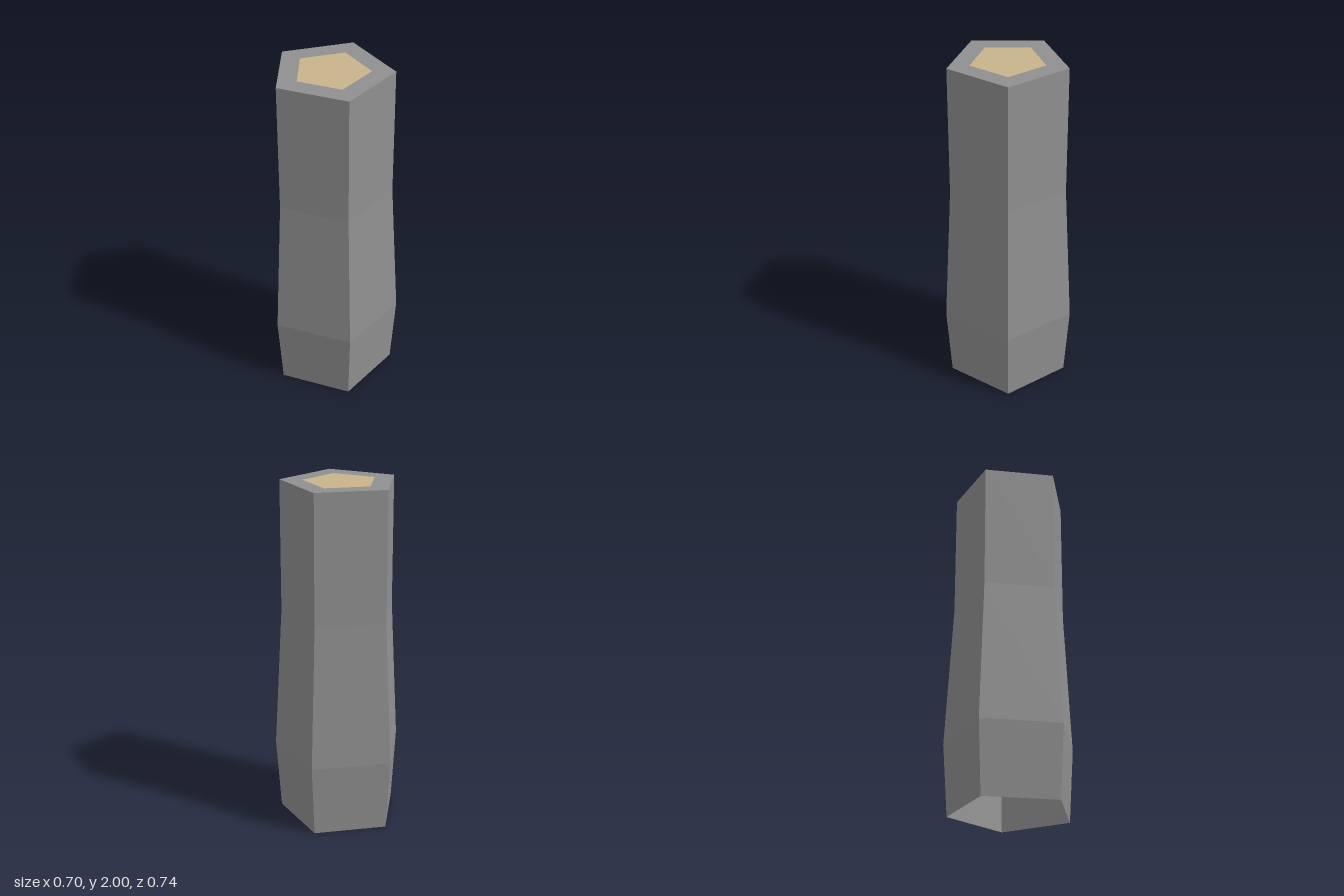
import * as THREE from 'three';

const SIDES = 5;
const HEIGHT = 2;
const CENTRE_X = -0.037; // centres the pentagon's bounds on x = 0
const TOP_RADIUS = 0.342;
const CORE_RADIUS = 0.215;

function material(color) {
  return new THREE.MeshStandardMaterial({ color, flatShading: true, side: THREE.DoubleSide });
}

function addPart(group, name, geometry, mat, y = 0) {
  const mesh = new THREE.Mesh(geometry, mat);
  mesh.name = name;
  mesh.position.set(CENTRE_X, y, 0);
  group.add(mesh);
}

export function createModel() {
  const group = new THREE.Group();
  group.name = 'pentagonalColumn';
  const shellMaterial = material(0x909090);
  const coreMaterial = material(0xc8b48c);

  // Five-sided wall, open underneath, bulging near the foot
  const profile = [[0.359, 0], [0.388, 0.42], [TOP_RADIUS, 1.25], [TOP_RADIUS, HEIGHT]]
    .map(([r, y]) => new THREE.Vector2(r, y));
  addPart(group, 'wall', new THREE.LatheGeometry(profile, SIDES, Math.PI / 2), shellMaterial);

  // Flat rim around the top
  const rim = new THREE.RingGeometry(CORE_RADIUS, TOP_RADIUS, SIDES).rotateX(-Math.PI / 2);
  addPart(group, 'topRim', rim, shellMaterial, HEIGHT);

  // Coloured core, flush with the rim
  const core = new THREE.CircleGeometry(CORE_RADIUS, SIDES).rotateX(-Math.PI / 2);
  addPart(group, 'topCore', core, coreMaterial, HEIGHT);

  return group;
}
